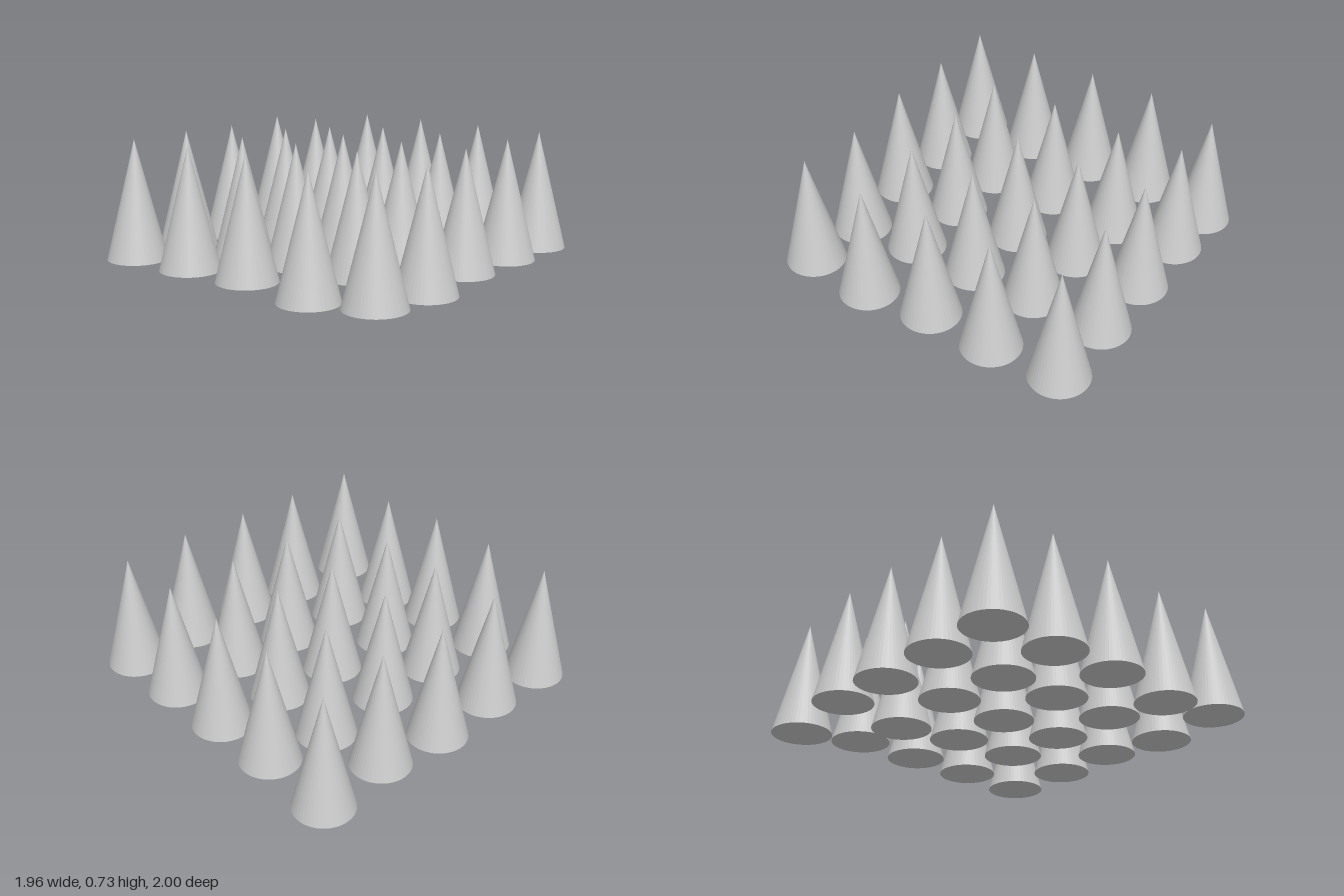
import * as THREE from 'three';

const RADIUS = 0.168;
const HEIGHT = 0.672;
const SPACING = 0.405;
const BASE_Y = 0.062;

// Cones nudged off the regular grid: 'column,row' -> [dx, dy, dz]
const NUDGES = {
  '4,0': [-0.013, -0.062, 0],
  '2,0': [0, -0.017, -0.016],
  '1,1': [0, 0, 0.024],
  '3,1': [0.014, -0.035, 0],
  '2,2': [0.016, 0, 0],
  '0,3': [0, -0.04, 0],
  '3,3': [-0.017, 0, 0],
  '1,4': [0, -0.023, 0.026],
  '3,4': [0, 0, 0.02],
  '4,4': [0, -0.008, 0],
};

export function createModel() {
  const model = new THREE.Group();
  model.name = 'coneField';

  const material = new THREE.MeshStandardMaterial({ color: 0xcccccc, flatShading: true });
  // Closed cone with its base at y = 0
  const geometry = new THREE.ConeGeometry(RADIUS, HEIGHT, 48);
  geometry.translate(0, HEIGHT / 2, 0);

  // Five by five grid, rows running from back to front
  for (let row = 0; row < 5; row++) {
    for (let column = 0; column < 5; column++) {
      const [dx, dy, dz] = NUDGES[`${column},${row}`] ?? [0, 0, 0];
      const cone = new THREE.Mesh(geometry, material);
      cone.name = `coneRow${row + 1}Column${column + 1}`;
      cone.position.set(
        (column - 2) * SPACING + dx,
        BASE_Y + dy,
        (row - 2) * SPACING - 0.005 + dz
      );
      model.add(cone);
    }
  }
  return model;
}
